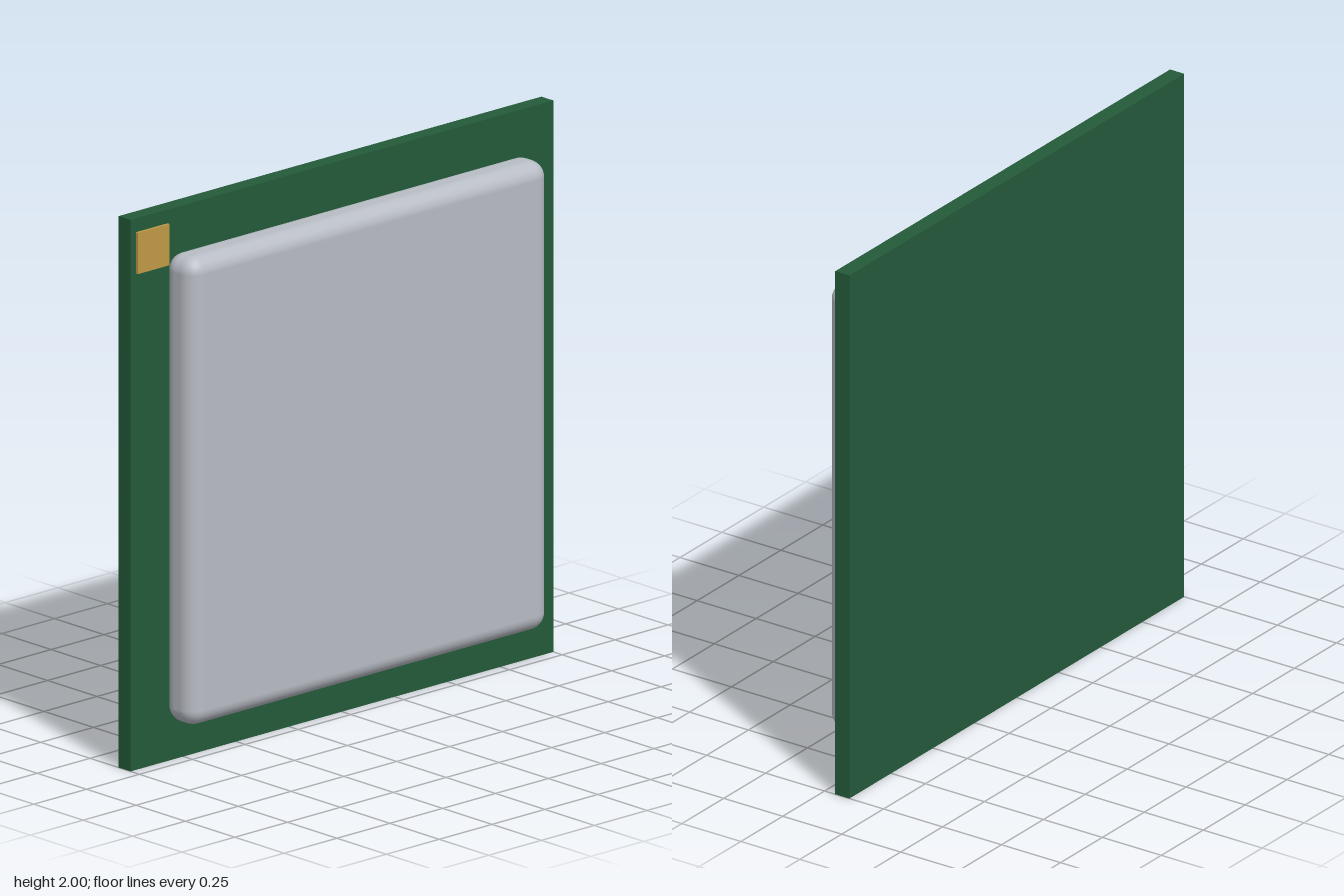
import * as THREE from 'three';
import { RoundedBoxGeometry } from 'three/addons/geometries/RoundedBoxGeometry.js';

function addPart(group, name, geometry, color, x, y, z) {
  const mesh = new THREE.Mesh(geometry, new THREE.MeshStandardMaterial({ color }));
  mesh.name = name;
  mesh.position.set(x, y, z);
  group.add(mesh);
}

export function createModel() {
  const model = new THREE.Group();
  model.name = 'chipModule';

  // Thin square circuit board at the back
  addPart(model, 'circuitBoard', new THREE.BoxGeometry(2, 2, 0.06), 0x245a3a, 0, 1, -0.075);

  // Rounded metal lid resting on the front of the board
  addPart(model, 'metalLid', new RoundedBoxGeometry(1.7, 1.7, 0.15, 4, 0.06), 0xb8bcc4, 0, 1, 0.03);

  // Gold orientation pad in the upper corner
  addPart(model, 'cornerPad', new THREE.BoxGeometry(0.15, 0.15, 0.02), 0xc09a45, -0.9, 1.875, -0.045);

  return model;
}
